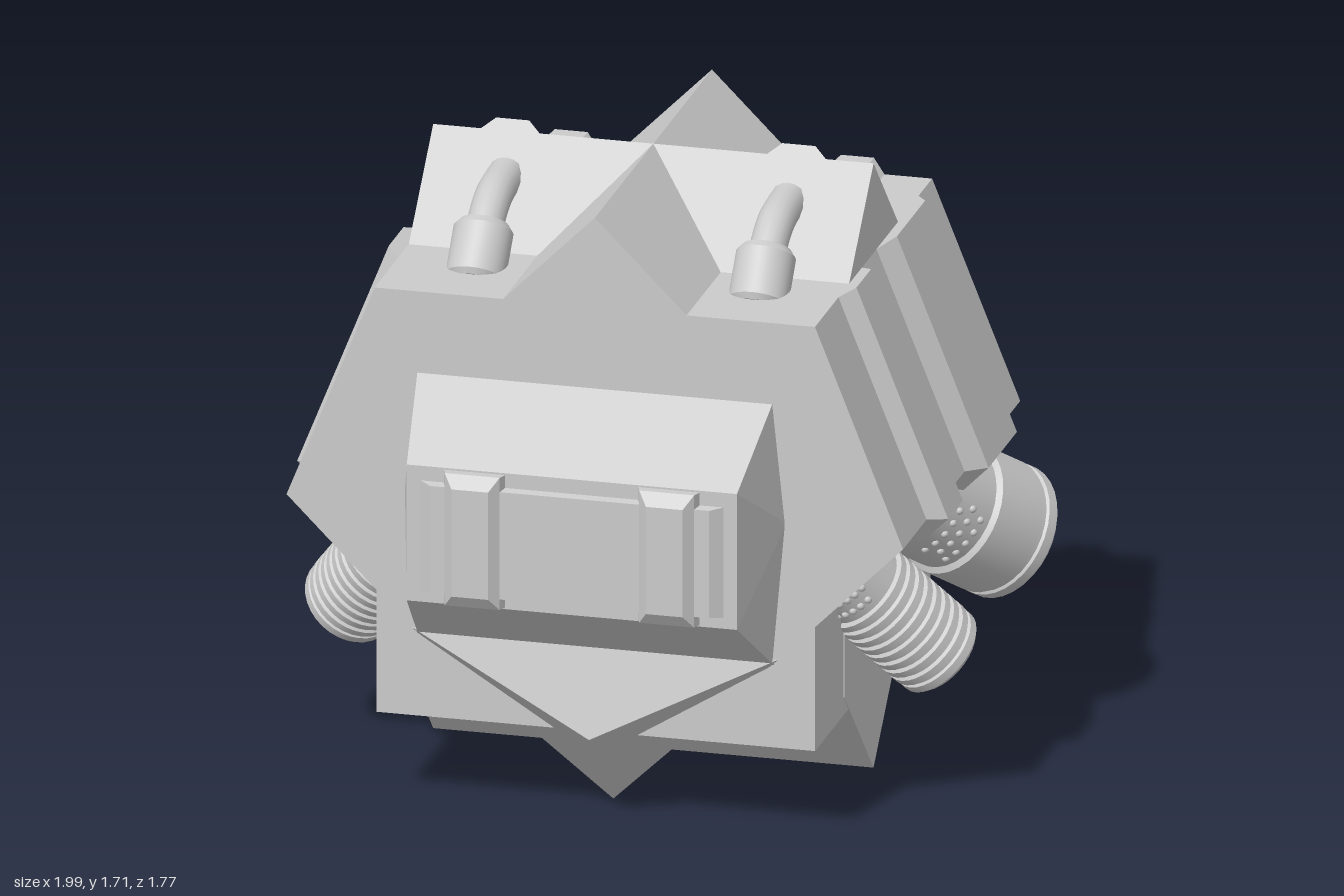
import * as THREE from 'three';
import { toCreasedNormals } from 'three/addons/utils/BufferGeometryUtils.js';
import { ConvexGeometry } from 'three/addons/geometries/ConvexGeometry.js';

const flat = new THREE.MeshStandardMaterial({ color: 0xcccccc, flatShading: true });
const smooth = new THREE.MeshStandardMaterial({ color: 0xcccccc });
const banded = new THREE.MeshStandardMaterial({ color: 0xcccccc, flatShading: true, side: THREE.DoubleSide });
const V = (x, y, z) => new THREE.Vector3(x, y, z);

function add(parent, name, geometry, material = flat) {
  const mesh = new THREE.Mesh(geometry, material);
  mesh.name = name;
  parent.add(mesh);
  return mesh;
}

// Prism with an outline in x/y, centred along z
function prism(outline, depth) {
  const shape = new THREE.Shape(outline.map(([x, y]) => new THREE.Vector2(x, y)));
  return new THREE.ExtrudeGeometry(shape, { depth, bevelEnabled: false }).translate(0, 0, -depth / 2);
}

// Raised strap with sloping sides that follows a folded path in x/y
function strap(path, z, base, top, height) {
  const pts = path.map(([x, y]) => new THREE.Vector2(x, y));
  const normals = pts.slice(1).map((p, i) => {
    const d = p.clone().sub(pts[i]).normalize();
    return new THREE.Vector2(-d.y, d.x);
  });
  const rings = pts.map((p, i) => {
    const a = normals[Math.max(i - 1, 0)], b = normals[Math.min(i, normals.length - 1)];
    const n = a.clone().add(b).normalize();
    const q = p.clone().addScaledVector(n, height / n.dot(a));
    return [[p, -base], [q, -top], [q, top], [p, base]].map(([c, w]) => V(c.x, c.y, z + w));
  });
  const out = [];
  const quad = (a, b, c, d) => [a, b, c, a, c, d].forEach((v) => out.push(v.x, v.y, v.z));
  for (let i = 0; i < rings.length - 1; i++) {
    for (let k = 0; k < 3; k++) quad(rings[i][k], rings[i][k + 1], rings[i + 1][k + 1], rings[i + 1][k]);
  }
  const last = rings[rings.length - 1];
  quad(rings[0][3], rings[0][2], rings[0][1], rings[0][0]);
  quad(last[0], last[1], last[2], last[3]);
  const g = new THREE.BufferGeometry();
  g.setAttribute('position', new THREE.Float32BufferAttribute(out, 3));
  g.computeVertexNormals();
  return g;
}

// Turned pipe whose end face centre is at `end`, pointing along `dir`
function pipe(parent, name, profile, end, dir) {
  const length = profile[profile.length - 1][1];
  const lathe = new THREE.LatheGeometry(profile.map(([r, y]) => new THREE.Vector2(r, y)), 32);
  const group = new THREE.Group();
  group.name = name;
  add(group, name + 'Body', toCreasedNormals(lathe, 0.6), smooth);
  dir.normalize();
  group.quaternion.setFromUnitVectors(V(0, 1, 0), dir);
  group.position.copy(end).addScaledVector(dir, -length);
  parent.add(group);
  return group;
}

// Small studs in a patch on the pipe's outer side
function studs(group, radius, y0, angle) {
  for (let row = 0; row < 3; row++) {
    for (let i = -2; i <= 2; i++) {
      const a = angle + (i + (row % 2) / 2) * 0.22;
      const s = add(group, 'stud', new THREE.SphereGeometry(0.011, 8, 6), smooth);
      s.position.set(Math.cos(a) * radius, y0 + row * 0.04, Math.sin(a) * radius);
    }
  }
}

function hose(parent, name, points, radius) {
  const curve = new THREE.CatmullRomCurve3(points);
  add(parent, name, new THREE.TubeGeometry(curve, 24, radius, 16), smooth);
}

function sleeve(parent, name, from, to, radius) {
  const d = to.clone().sub(from), L = d.length();
  const profile = [[0, 0], [radius * 0.85, 0], [radius, 0.015], [radius, L - 0.02], [radius * 0.8, L], [0, L]];
  pipe(parent, name, profile, to, d);
}

export function createModel() {
  const model = new THREE.Group();

  // Crossed prisms around a square core
  add(model, 'core', new THREE.BoxGeometry(1.196, 1.188, 1.18)).position.y = 0.844;
  add(model, 'lengthwiseBody', prism([
    [0, 1.69], [-0.25, 1.44], [-0.6, 1.44], [-0.84, 0.84], [-0.5, 0.5],
    [0.5, 0.5], [0.84, 0.84], [0.6, 1.44], [0.25, 1.44],
  ], 1.2));
  add(model, 'keel', new ConvexGeometry([
    V(0, 0, -0.6), V(0, 0, 0.41), V(0, 0.25, 0.66), V(0, 0.5, 0.6),
    V(-0.5, 0.5, -0.6), V(0.5, 0.5, -0.6), V(-0.5, 0.5, 0.6), V(0.5, 0.5, 0.6),
  ]));
  add(model, 'crosswiseBody', prism([
    [0, 1.69], [-0.3, 1.39], [-0.3, 0.3], [0, 0], [0.84, 0.84], [0.6, 1.44], [0.25, 1.44],
  ], 1.2).rotateY(Math.PI / 2));

  // Front housing with a raised plate and two bands
  const corners = [];
  for (const s of [-1, 1]) {
    corners.push(V(s * 0.485, 1.22, 0.59), V(s * 0.52, 0.88, 0.59), V(s * 0.485, 0.48, 0.59),
      V(s * 0.45, 1.04, 0.835), V(s * 0.45, 0.66, 0.835));
  }
  add(model, 'frontHousing', new ConvexGeometry(corners));
  const plate = [];
  for (const x of [-1, 1]) for (const y of [-1, 1]) {
    plate.push(V(x * 0.42, 0.845 + y * 0.155, 0.83), V(x * 0.38, 0.845 + y * 0.15, 0.86));
  }
  add(model, 'frontPlate', new ConvexGeometry(plate));
  for (const s of [-1, 1]) {
    const band = [];
    for (const x of [-1, 1]) for (const y of [-1, 1]) {
      band.push(V(s * 0.265 + x * 0.085, 0.85 + y * 0.185, 0.83),
        V(s * 0.265 + x * 0.075, 0.85 + y * 0.185, 0.86),
        V(s * 0.265 + x * 0.05, 0.85 + y * 0.15, 0.885));
    }
    add(model, 'frontBand', new ConvexGeometry(band));
  }

  // Everything below repeats on both sides
  for (const s of [-1, 1]) {
    const side = new THREE.Group();
    side.name = s > 0 ? 'leftFittings' : 'rightFittings';
    side.scale.x = s;
    model.add(side);

    // Straps
    const flank = [[0.6, 1.44], [0.84, 0.84], [0.79, 0.79]];
    add(side, 'frontSideStrap', strap(flank, 0.24, 0.12, 0.075, 0.04), banded);
    add(side, 'rearSideStrap', strap(flank, -0.245, 0.215, 0.145, 0.04), banded);
    const over = [[0, 1.69], [0.25, 1.44], [0.6, 1.44], [0.84, 0.84], [0.77, 0.77]];
    add(side, 'backStrap', strap(over, 0.39, 0.08, 0.045, 0.035).rotateY(Math.PI / 2), banded);

    // Curved hoses on the top and back
    const x = 0.385;
    hose(side, 'topHose', [V(x, 1.4, 0.37), V(x, 1.51, 0.29), V(x, 1.57, 0.2), V(x, 1.59, 0.06)], 0.05);
    sleeve(side, 'topSleeve', V(x, 1.4, 0.385), V(x, 1.53, 0.28), 0.08);
    hose(side, 'backHose', [V(x, 0.78, -0.76), V(x, 0.66, -0.755), V(x, 0.53, -0.73),
      V(x, 0.42, -0.67), V(x, 0.34, -0.56)], 0.058);
    sleeve(side, 'backSleeve', V(x, 0.79, -0.75), V(x, 0.63, -0.758), 0.076);

    // Wide smooth exhaust
    const wide = pipe(side, 'wideExhaust', [
      [0.17, 0], [0.17, 0.33], [0.185, 0.34], [0.185, 0.5], [0.178, 0.505], [0.178, 0.515],
      [0.185, 0.52], [0.185, 0.55], [0.165, 0.57], [0, 0.57],
    ], V(0.85, 0.515, -0.47), V(0.52, -0.51, -0.68));
    studs(wide, 0.168, 0.22, 0.2);

    // Narrow ribbed exhaust
    const ribs = [[0.12, 0], [0.12, 0.22]];
    for (let i = 0; i < 8; i++) {
      const y = 0.22 + i * 0.036;
      ribs.push([0.132, y + 0.005], [0.132, y + 0.026], [0.122, y + 0.03], [0.122, y + 0.036]);
    }
    ribs.push([0.13, 0.512], [0.13, 0.535], [0.115, 0.55], [0, 0.55]);
    const narrow = pipe(side, 'ribbedExhaust', ribs, V(0.81, 0.365, 0.085), V(0.54, -0.7, -0.47));
    studs(narrow, 0.118, 0.11, 0.2);
  }
  return model;
}
